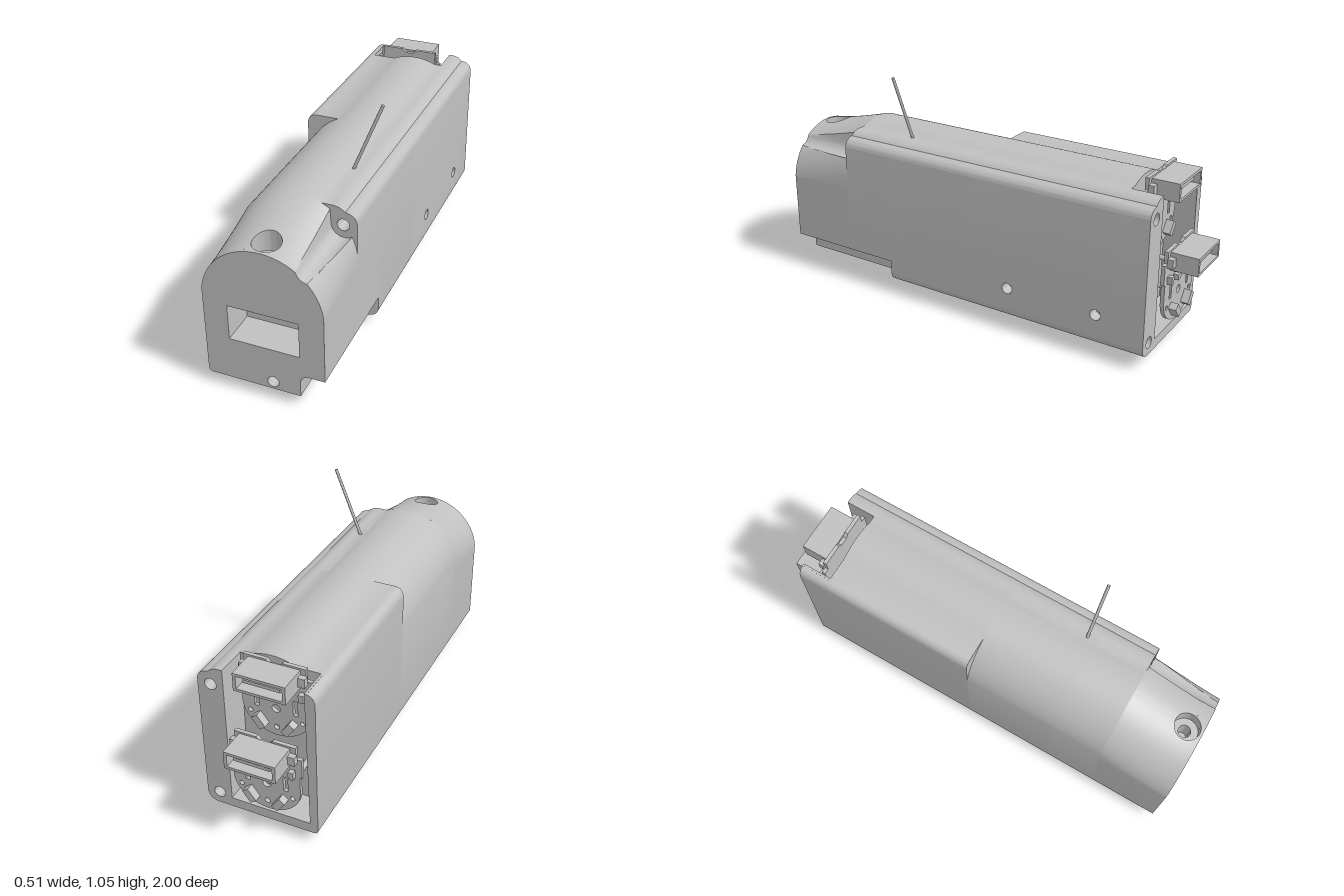
import * as THREE from 'three';
import { toCreasedNormals } from 'three/addons/utils/BufferGeometryUtils.js';

const R = 0.257, HALF = 0.255;

export function createModel() {
  const model = new THREE.Group();
  const grey = new THREE.MeshStandardMaterial({ color: 0xc0c0c0, side: THREE.DoubleSide });
  grey.name = 'plain grey';

  const add = (geo, name, parent = model) => {
    const mesh = new THREE.Mesh(geo, grey);
    mesh.name = name;
    parent.add(mesh);
    return mesh;
  };
  const prism = (shape, z0, z1) => toCreasedNormals(
    new THREE.ExtrudeGeometry(shape, { depth: z1 - z0, bevelEnabled: false, curveSegments: 24 }).translate(0, 0, z0), 0.5);
  const box = (name, w, h, d, x, y, z, parent) => {
    const m = add(new THREE.BoxGeometry(w, h, d), name, parent);
    m.position.set(x, y, z);
    return m;
  };
  const circle = (x, y, r) => new THREE.Path().absarc(x, y, r, 0, Math.PI * 2, false);
  const rect = (x0, y0, x1, y1, Type = THREE.Path) => new Type(
    [[x0, y0], [x1, y0], [x1, y1], [x0, y1]].map(p => new THREE.Vector2(...p)));
  const rod = (name, a, b, r) => {
    const from = new THREE.Vector3(...a), to = new THREE.Vector3(...b), dir = to.clone().sub(from);
    const m = add(new THREE.CylinderGeometry(r, r, dir.length(), 12), name);
    m.position.copy(from).add(to).multiplyScalar(0.5);
    m.quaternion.setFromUnitVectors(new THREE.Vector3(0, 1, 0), dir.normalize());
  };

  // Cross-section of the housing, with optional corner blocks, notch and recess
  function section({ left, right, notch, groove, recess, low }) {
    const s = new THREE.Shape();
    s.moveTo(-0.235, 0.055);
    if (notch) {
      s.lineTo(0.15, 0.055).lineTo(0.15, 0.115);
      s.quadraticCurveTo(0.15, 0.16, 0.195, 0.16).lineTo(HALF, 0.16);
    } else {
      s.lineTo(0.2, 0.055).quadraticCurveTo(HALF, 0.055, HALF, 0.11);
    }
    if (groove) s.lineTo(HALF, 0.15).lineTo(0.2, 0.15).lineTo(0.2, 0.25).lineTo(HALF, 0.25);
    if (low) {
      s.lineTo(HALF, 0.465).lineTo(-HALF, 0.465);
    } else {
      if (right) {
        s.lineTo(HALF, 0.67).quadraticCurveTo(HALF, 0.715, 0.205, 0.72);
        s.quadraticCurveTo(0.185, 0.742, 0.15, 0.742);
      }
      if (recess) {
        s.lineTo(0.14, 0.742).lineTo(0.14, 0.1).lineTo(-0.22, 0.1).lineTo(-0.22, 0.742);
      } else {
        const block = Math.asin(0.234 / R), side = Math.acos(HALF / R);
        s.absarc(0, 0.508, R, right ? block : side, Math.PI - (left ? block : side), false);
      }
      if (left) s.lineTo(-0.21, 0.742).quadraticCurveTo(-HALF, 0.742, -HALF, 0.69);
    }
    s.lineTo(-HALF, 0.075).quadraticCurveTo(-HALF, 0.055, -0.235, 0.055);
    if (right) s.holes.push(circle(0.197, 0.662, 0.026));
    if (!notch) s.holes.push(circle(0.197, 0.112, 0.026));
    return s;
  }

  // Main housing, back to front
  add(prism(section({ left: true, right: true, recess: true }), -0.86, -0.72), 'rear frame');
  add(prism(section({ left: true, right: true, groove: true }), -0.72, 0), 'rear housing');
  add(prism(section({ right: true }), 0, 0.43), 'middle housing');
  add(prism(section({ right: true, notch: true }), 0.43, 0.67), 'front housing');

  // Strip in the left wall with two side holes
  const strip = rect(0, 0.15, 0.72, 0.25, THREE.Shape);
  strip.holes.push(circle(0.21, 0.2, 0.025), circle(0.64, 0.2, 0.025));
  add(prism(strip, 0.2, HALF).rotateY(Math.PI / 2), 'side hole strip');

  // Lower nose, with the window pocket and the small round port
  add(prism(section({ notch: true, low: true }), 0.67, 0.85), 'nose core');
  const face = section({ notch: true, low: true });
  face.holes.push(rect(-0.15, 0.25, 0.15, 0.41), circle(0.033, 0.09, 0.025));
  add(prism(face, 0.85, 1), 'nose front block');

  // Height of the sloping nose, including the screw clearance channel
  const height = (x, z) => {
    const t = Math.max(0, (1 - z) / 0.33);
    const y = 0.435 + 0.073 * Math.pow(t, 1.3) + Math.sqrt(R * R - x * x);
    const d = x - 0.2;
    return Math.abs(d) < 0.055 ? Math.min(y, 0.66 - Math.sqrt(0.055 ** 2 - d * d)) : y;
  };
  const surface = (rows, cols, point, skip = () => false) => {
    const pos = [], idx = [];
    for (let j = 0; j < rows; j++) for (let i = 0; i < cols; i++) pos.push(...point(i, j));
    for (let j = 0; j < rows - 1; j++) for (let i = 0; i < cols - 1; i++) {
      if (skip(i, j)) continue;
      const a = j * cols + i, b = a + cols;
      idx.push(a, b, a + 1, a + 1, b, b + 1);
    }
    const g = new THREE.BufferGeometry();
    g.setAttribute('position', new THREE.Float32BufferAttribute(pos, 3));
    g.setIndex(idx);
    return toCreasedNormals(g, 0.5);
  };
  const HZ = 0.93, HW = 0.066;
  const zs = [];
  for (let i = 0; i <= 10; i++) zs.push(0.67 + i * 0.0194);
  zs.push(0.897, 0.93, 0.963, 0.996, 1);
  const t0 = Math.asin(HW / HALF), q = Math.PI / 2;
  const xs = [];
  const sweep = (a, b, n) => { for (let i = 0; i < n; i++) xs.push(HALF * Math.sin(a + (b - a) * i / n)); };
  sweep(-q, -t0, 32);
  sweep(-t0, t0, 16);
  sweep(t0, q, 64);
  xs.push(HALF);
  const n = xs.length;
  // First and last columns drop down as the side walls
  add(surface(zs.length, n + 2, (i, j) => {
    const x = xs[Math.min(n - 1, Math.max(0, i - 1))];
    return [x, i === 0 || i === n + 1 ? 0.465 : height(x, zs[j]), zs[j]];
  }, (i, j) => i >= 33 && i < 49 && j >= 10 && j < 14), 'nose top');

  // Patch around the stepped hole in the nose
  const levels = [[0, null], [0.058, null], [0.058, 0.62], [0.027, 0.62], [0.027, 0.5], [0, 0.5]];
  add(surface(levels.length, 49, (i, j) => {
    const a = -i / 48 * Math.PI * 2, c = Math.cos(a), s = Math.sin(a);
    const [radius, y] = levels[j];
    const r = j === 0 ? HW / Math.max(Math.abs(c), Math.abs(s)) : radius;
    const x = r * c, z = HZ + r * s;
    return [x, y === null ? height(x, z) : y, z];
  }), 'nose top hole');

  // Upper front face under the arch
  const cap = new THREE.Shape();
  cap.moveTo(-HALF, 0.465).lineTo(HALF, 0.465);
  for (let i = n - 1; i >= 0; i--) cap.lineTo(xs[i], height(xs[i], 1));
  add(new THREE.ShapeGeometry(cap).translate(0, 0, 1), 'nose upper face');

  // Thin slanted rods
  rod('upper rod', [0.11, 0.709, 0.38], [0.247, 1.05, 0.38], 0.007);
  rod('lower rod', [-0.14, 0.098, 0.312], [-0.18, 0.004, 0.312], 0.007);

  // Circuit board with socket and small parts, used twice
  function boardUnit(name, y, z) {
    const unit = new THREE.Group();
    unit.name = name;
    unit.position.set(-0.04, y, z);
    model.add(unit);
    const s = new THREE.Shape();
    s.moveTo(-0.15, 0.13).absellipse(0, 0.13, 0.15, 0.13, Math.PI, Math.PI * 2, false);
    s.lineTo(0.15, 0.21).lineTo(0.16, 0.21).lineTo(0.16, 0.3).lineTo(0.135, 0.3).lineTo(0.135, 0.353);
    s.lineTo(0.035, 0.353).lineTo(0.02, 0.335).lineTo(-0.02, 0.335).lineTo(-0.035, 0.353);
    s.lineTo(-0.135, 0.353).lineTo(-0.135, 0.3).lineTo(-0.16, 0.3).lineTo(-0.16, 0.21).lineTo(-0.15, 0.21);
    s.holes.push(circle(0, 0.13, 0.018), circle(0, 0.04, 0.012));
    for (const m of [-1, 1]) {
      s.holes.push(rect(m * 0.085 - 0.01, 0.12, m * 0.085 + 0.01, 0.19));
      s.holes.push(circle(m * 0.115, 0.09, 0.01));
    }
    add(prism(s, -0.017, 0), 'circuit board', unit);

    const shell = rect(-0.112, 0.265, 0.112, 0.345, THREE.Shape);
    shell.holes.push(rect(-0.098, 0.277, 0.098, 0.333));
    add(prism(shell, -0.14, -0.017), 'socket shell', unit);
    box('socket back', 0.2, 0.06, 0.02, 0, 0.305, -0.04, unit);
    box('socket tongue', 0.16, 0.015, 0.07, 0, 0.305, -0.085, unit);
    for (let i = 0; i < 6; i++) {
      box('pin', 0.01, 0.025, 0.02, -0.0625 + i * 0.025, 0.252, -0.027, unit);
    }
    for (const m of [-1, 1]) {
      box('socket ear', 0.03, 0.04, 0.025, m * 0.127, 0.305, -0.03, unit);
      box('small chip', 0.03, 0.025, 0.022, m * 0.05, 0.215, -0.028, unit);
      box('edge chip', 0.022, 0.035, 0.022, m * 0.12, 0.225, -0.028, unit);
      const sw = box('tilted switch', 0.032, 0.06, 0.034, m * 0.065, 0.065, -0.034, unit);
      sw.rotation.z = -m * 0.65;
    }
  }
  boardUnit('upper board', 0.43, -0.757);
  boardUnit('lower board', 0.13, -0.86);

  // Posts holding the boards
  for (const x of [-0.16, 0.08]) {
    rod('board post', [x, 0.32, -0.72], [x, 0.32, -0.86], 0.012);
    rod('board post', [x, 0.6, -0.72], [x, 0.6, -0.757], 0.012);
  }
  return model;
}
